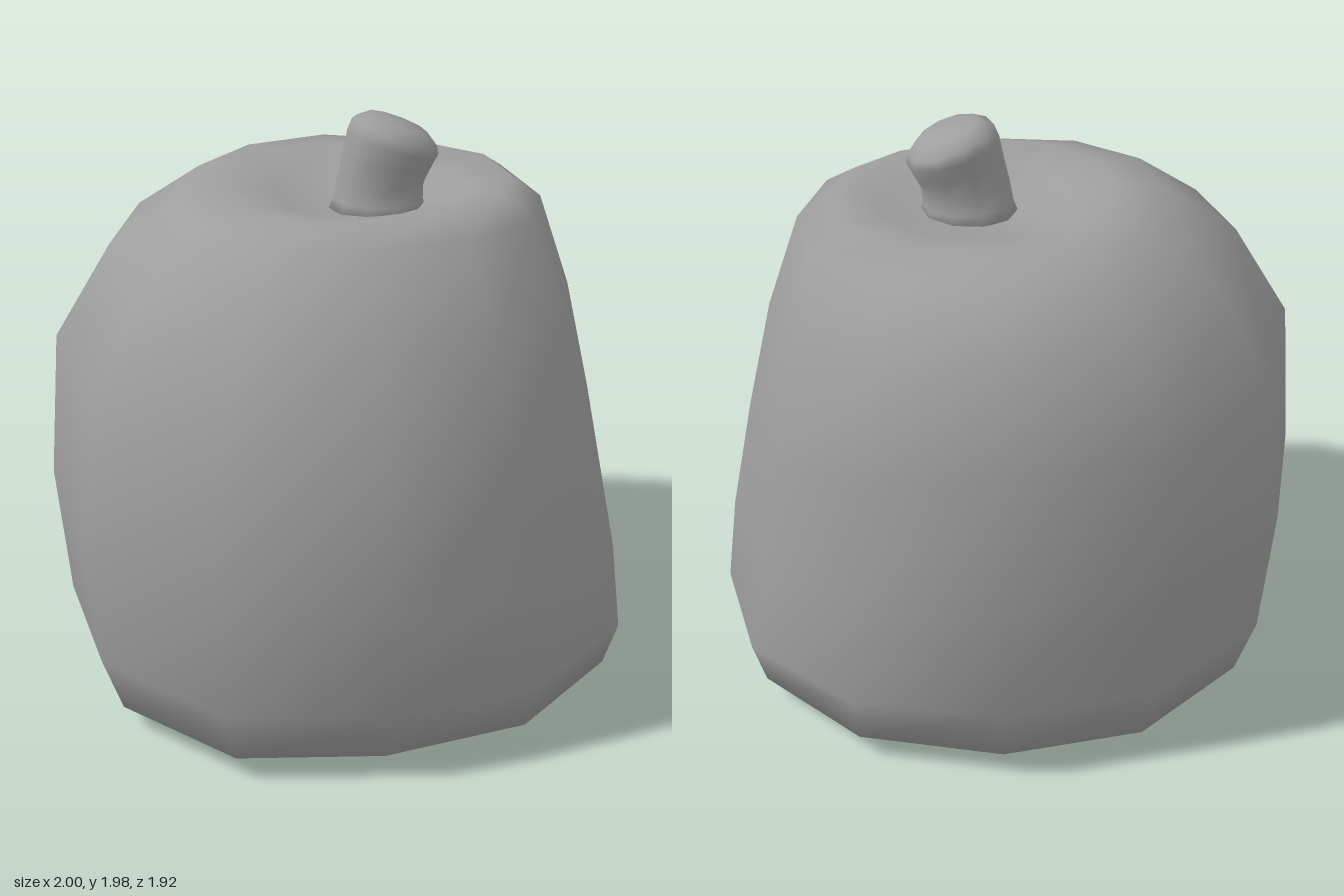
import * as THREE from 'three';

// Smooth closed surface through rings of points (listed upward), with a pole at each end
function loft(rings, bottom, top) {
  const n = rings[0].length, last = (rings.length - 1) * n;
  const points = [...rings.flat(), bottom, top];
  const low = points.length - 2, high = points.length - 1;
  const index = [];
  for (let j = 0; j < n; j++) {
    const k = (j + 1) % n;
    for (let i = 0; i < last; i += n) {
      index.push(i + j, i + n + j, i + k, i + k, i + n + j, i + n + k);
    }
    index.push(low, j, k, high, last + k, last + j);
  }
  const geometry = new THREE.BufferGeometry();
  geometry.setAttribute('position', new THREE.Float32BufferAttribute(points.flat(), 3));
  geometry.setIndex(index);
  geometry.computeVertexNormals();
  return geometry;
}

function ring(sides, offset, pointAt) {
  return Array.from({ length: sides }, (_, j) => pointAt(offset + (j / sides) * Math.PI * 2));
}

// Lopsided body: reach r and height y of each ring towards +x, +z, -x and -z,
// and the bulge of the quarters +x+z, -x+z, -x-z and +x-z
const bodyRings = [
  { r: [0.42, 0.40, 0.40, 0.40], y: [0.01, 0.01, 0.01, 0.01], bulge: [0.03, 0.03, 0.03, 0.03] },
  { r: [0.78, 0.65, 0.73, 0.61], y: [0.03, 0.025, 0.025, 0.025], bulge: [0.03, 0.06, 0.03, 0.03] },
  { r: [0.955, 0.89, 0.89, 0.87], y: [0.09, 0.09, 0.09, 0.09], bulge: [0.04, 0.09, 0.03, 0.03] },
  { r: [1.00, 0.94, 0.96, 0.93], y: [0.24, 0.27, 0.30, 0.30], bulge: [0.04, 0.09, 0.03, 0.03] },
  { r: [0.96, 0.96, 1.00, 0.97], y: [0.55, 0.63, 0.76, 0.76], bulge: [0.03, 0.09, 0.03, -0.03] },
  { r: [0.88, 0.91, 0.96, 0.95], y: [0.95, 1.06, 1.26, 1.22], bulge: [0, 0.08, 0.02, 0.02] },
  { r: [0.79, 0.73, 0.77, 0.84], y: [1.34, 1.44, 1.57, 1.54], bulge: [0, 0.06, -0.02, 0.06] },
  { r: [0.68, 0.53, 0.54, 0.66], y: [1.66, 1.69, 1.72, 1.71], bulge: [0, 0.03, -0.05, 0.06] },
  { r: [0.57, 0.40, 0.37, 0.47], y: [1.74, 1.74, 1.74, 1.74], bulge: [0, 0.02, -0.04, 0.1] },
  // hollow around the stem
  { r: [0.43, 0.28, 0.22, 0.31], y: [1.71, 1.71, 1.70, 1.70], bulge: [0, 0, 0, 0.05] },
  { r: [0.31, 0.18, 0.09, 0.17], y: [1.67, 1.67, 1.66, 1.66], bulge: [0, 0, 0, 0] },
];

function bodyRing({ r, y, bulge }) {
  return ring(12, 0.035, (angle) => {
    const a = angle + 0.06 * Math.max(0, -Math.sin(angle));
    const c = Math.cos(a), s = Math.sin(a);
    const ix = c > 0 ? 0 : 2, iz = s > 0 ? 1 : 3;
    const quarter = Math.floor(a / (Math.PI / 2)) % 4;
    const swell = 1 + bulge[quarter] * Math.sin(2 * a) ** 2;
    return [c * r[ix] * swell, c * c * y[ix] + s * s * y[iz], s * r[iz] * swell];
  });
}

// Stem rings: centre x, centre y, half width in x, half width in z, tilt towards +x
const stemRings = [
  [0.115, 1.64, 0.165, 0.15, 0],
  [0.12, 1.69, 0.15, 0.125, 0.04],
  [0.127, 1.75, 0.145, 0.117, 0.1],
  [0.148, 1.815, 0.15, 0.125, 0.22],
  [0.168, 1.875, 0.158, 0.143, 0.3],
  [0.174, 1.91, 0.15, 0.143, 0.35],
  [0.182, 1.943, 0.105, 0.10, 0.35],
];

function stemRing([x, y, rx, rz, tilt]) {
  return ring(10, 0.1, (a) => [
    x + rx * Math.cos(a) * Math.cos(tilt),
    y - rx * Math.cos(a) * Math.sin(tilt),
    0.02 + rz * Math.sin(a),
  ]);
}

export function createModel() {
  const material = new THREE.MeshStandardMaterial({ color: 0x9e9e9e });
  const group = new THREE.Group();
  group.name = 'fruit';

  const body = new THREE.Mesh(loft(bodyRings.map(bodyRing), [0, 0, 0], [0.11, 1.655, 0.01]), material);
  body.name = 'body';

  const stem = new THREE.Mesh(loft(stemRings.map(stemRing), [0.115, 1.62, 0.02], [0.187, 1.953, 0.02]), material);
  stem.name = 'stem';

  group.add(body, stem);
  return group;
}
